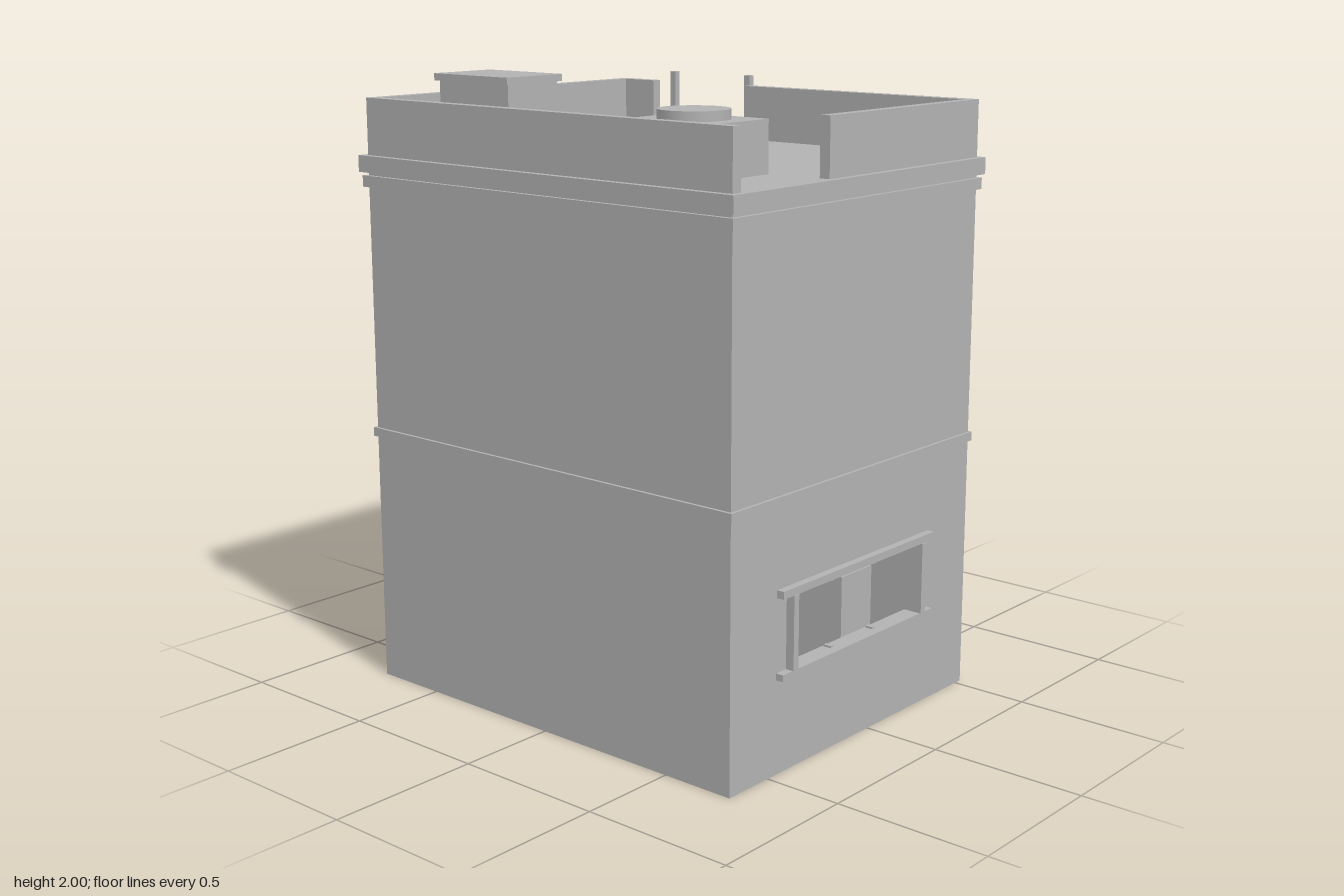
import * as THREE from 'three';

const concrete = new THREE.MeshStandardMaterial({ color: 0xb2b2b2 });
concrete.name = 'concrete grey';

// Outer body limits and wall thickness
const X = 0.745, Z0 = -0.528, Z1 = 0.676, T = 0.035, FLOOR = 0.035, STOREY = 0.8, ROOF = 1.74;

export function createModel() {
  const model = new THREE.Group();
  model.name = 'building';

  const add = (name, geometry, parent = model) => {
    const mesh = new THREE.Mesh(geometry, concrete);
    mesh.name = name;
    parent.add(mesh);
    return mesh;
  };
  // Box from its limits on each axis
  const box = (name, x0, x1, y0, y1, z0, z1, parent) => {
    const g = new THREE.BoxGeometry(x1 - x0, y1 - y0, z1 - z0);
    g.translate((x0 + x1) / 2, (y0 + y1) / 2, (z0 + z1) / 2);
    return add(name, g, parent);
  };
  const group = (name) => {
    const g = new THREE.Group();
    g.name = name;
    model.add(g);
    return g;
  };
  // Flat wall with one rectangular opening
  const wall = (a0, a1, h0, h1, v0, v1) => {
    const s = new THREE.Shape();
    s.moveTo(a0, 0).lineTo(a1, 0).lineTo(a1, STOREY).lineTo(a0, STOREY).closePath();
    const hole = new THREE.Path();
    hole.moveTo(h0, v0).lineTo(h0, v1).lineTo(h1, v1).lineTo(h1, v0).closePath();
    s.holes.push(hole);
    return new THREE.ExtrudeGeometry(s, { depth: T, bevelEnabled: false });
  };

  // Hollow ground floor under a solid upper storey
  box('floorSlab', -X + T, X - T, 0, FLOOR, Z0 + T, Z1 - T);
  box('frontWall', -X + T, X - T, 0, STOREY, Z1 - T, Z1);
  add('backWall', wall(-X + T, X - T, -0.275, 0.275, FLOOR, 0.674)).position.z = Z0;
  for (const side of [-1, 1]) {
    const g = wall(Z0, Z1, -0.241, 0.395, 0.318, 0.536);
    g.rotateY(-Math.PI / 2);
    add('sideWall', g).position.x = side > 0 ? X : -X + T;
  }
  box('upperStorey', -X, X, STOREY, 1.7, Z0, Z1);

  // Horizontal bands: overhang, bottom, top
  for (const [name, o, y0, y1] of [
    ['middleBand', 0.01, 0.825, 0.854],
    ['lowerCornice', 0.014, 1.64, 1.676],
    ['roofCornice', 0.022, 1.687, ROOF],
  ]) box(name, -X - o, X + o, y0, y1, Z0 - o / 1.4, Z1 + o);

  // Parapet with gaps at the ladder and at the front corner
  const parapet = group('parapet');
  const P = 1.92;
  box('frontParapet', -X, X, ROOF, P, Z1 - T, Z1, parapet);
  box('rightParapet', -X, -X + T, ROOF, P, Z0, Z1 - T, parapet);
  box('leftParapet', X - T, X, ROOF, P, Z0, 0.243, parapet);
  box('backParapetShort', -X + T, -0.579, ROOF, P, Z0, Z0 + T, parapet);
  box('backParapetLong', -0.166, X - T, ROOF, P, Z0, Z0 + T, parapet);

  // Capped roof vent
  const vent = group('roofVent');
  box('ventBody', -0.524, -0.222, ROOF, 1.978, 0.355, 0.564, vent);
  box('ventCap', -0.534, -0.212, 1.978, 2, 0.342, 0.578, vent);

  // Cooling unit with fan and rear fins
  const cooler = group('coolingUnit');
  box('coolerBody', 0.213, 0.536, ROOF, 1.9, 0.259, 0.542, cooler);
  add('coolerFan', new THREE.CylinderGeometry(0.108, 0.108, 0.03, 32), cooler).position.set(0.375, 1.915, 0.402);
  for (let i = 0; i < 6; i++) {
    const x = 0.25 + i * 0.05;
    box('coolerFin', x, x + 0.012, 1.777, 1.862, 0.252, 0.259, cooler);
  }

  // Side windows: sills, posts and small clips
  for (const side of [-1, 1]) {
    const win = group('sideWindow');
    const part = (name, out, y0, y1, z0, z1, inner = X) =>
      box(name, Math.min(side * inner, side * out), Math.max(side * inner, side * out), y0, y1, z0, z1, win);
    part('windowHead', 0.77, 0.549, 0.573, -0.309, 0.464);
    part('windowSill', 0.77, 0.297, 0.318, -0.309, 0.464);
    part('windowPost', 0.773, 0.318, 0.549, 0.395, 0.418);
    part('windowPost', 0.773, 0.318, 0.549, -0.264, -0.241);
    for (const z of [0.187, -0.03]) {
      part('windowClip', 0.74, 0.53, 0.536, z - 0.007, z + 0.007, 0.715);
      part('windowClip', 0.74, 0.318, 0.324, z - 0.007, z + 0.007, 0.715);
    }
  }

  // Back doorway and porch canopy
  const door = group('doorway');
  box('doorHeader', -0.325, 0.325, 0.674, 0.72, -0.607, Z0, door);
  box('canopy', -0.384, 0.384, 0.735, 0.77, -0.697, Z0, door);
  for (const side of [-1, 1]) {
    box('doorJamb', side * 0.292 - 0.02, side * 0.292 + 0.02, FLOOR, 0.674, -0.591, Z0, door);
    box('canopyPost', side * 0.355 - 0.016, side * 0.355 + 0.016, 0, 0.735, -0.69, -0.658, door);
  }

  // Crates inside
  box('tallCrate', 0.32, 0.62, FLOOR, 0.46, -0.183, -0.024);
  box('wideCrate', -0.62, -0.3, FLOOR, 0.488, 0.005, 0.388);

  // Roof ladder
  const ladder = group('ladder');
  for (const x of [-0.542, -0.206]) {
    box('ladderRail', x - 0.012, x + 0.012, 0, 1.95, -0.578, -0.556, ladder);
    for (const y of [0.12, 0.885, 1.682])
      box('ladderBracket', x - 0.014, x + 0.014, y - 0.011, y + 0.011, -0.575, Z0, ladder);
  }
  for (let i = 0; i < 24; i++) {
    const y = 0.06 + i * 0.0722;
    box('ladderRung', -0.532, -0.216, y - 0.01, y + 0.01, -0.576, -0.558, ladder);
  }
  return model;
}
